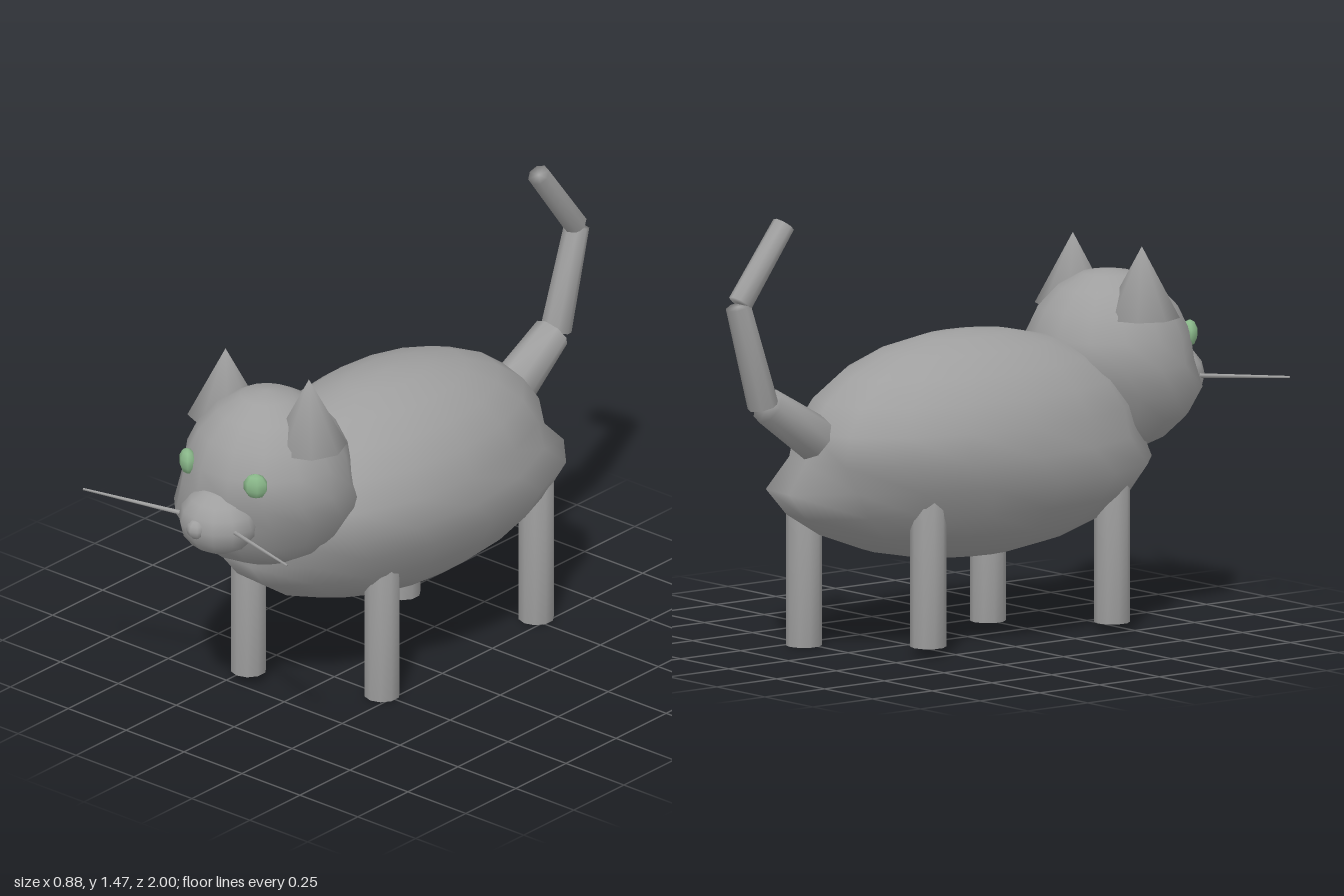
import * as THREE from 'three';
import { mergeVertices } from 'three/addons/utils/BufferGeometryUtils.js';

export function createModel() {
  const cat = new THREE.Group();
  cat.name = 'cat';
  const fur = new THREE.MeshStandardMaterial({ name: 'grey fur', color: 0x9f9f9f });
  const iris = new THREE.MeshStandardMaterial({ name: 'green eye', color: 0x8ab88a });

  // Weld seams and caps so every part is smoothly shaded.
  const soften = (geometry) => {
    geometry.deleteAttribute('normal');
    geometry.deleteAttribute('uv');
    const welded = mergeVertices(geometry, 1e-4);
    welded.computeVertexNormals();
    return welded;
  };
  const add = (name, geometry, material = fur) => {
    const mesh = new THREE.Mesh(geometry, material);
    mesh.name = name;
    cat.add(mesh);
    return mesh;
  };
  const ellipsoid = (name, center, radii, w, h, material) => {
    const geometry = new THREE.SphereGeometry(1, w, h).scale(...radii);
    const mesh = add(name, soften(geometry), material);
    mesh.position.set(...center);
    return mesh;
  };
  // Skew the lower half: left side backward, right side forward,
  // with the leading quarters lengthened.
  const skewLower = (mesh, top, skew, rear, front) => {
    const p = mesh.geometry.attributes.position;
    for (let i = 0; i < p.count; i++) {
      const x = p.getX(i), z = p.getZ(i);
      if (p.getY(i) > top) continue;
      let length = 1;
      if (z < 0 && x > -0.01) length = rear;
      if (z > 0 && x < 0.01) length = front;
      p.setZ(i, z * length - x * skew);
    }
    mesh.geometry.computeVertexNormals();
  };
  // Tapered rod between two points.
  const rod = (name, from, to, r0, r1, sides = 8) => {
    const a = new THREE.Vector3(...from);
    const b = new THREE.Vector3(...to);
    const axis = b.clone().sub(a);
    const mesh = add(name, soften(new THREE.CylinderGeometry(r1, r0, axis.length(), sides)));
    mesh.position.copy(a).add(b).multiplyScalar(0.5);
    mesh.quaternion.setFromUnitVectors(new THREE.Vector3(0, 1, 0), axis.normalize());
    return mesh;
  };

  // Body
  const body = ellipsoid('body', [0, 0.645, -0.01], [0.383, 0.374, 0.67], 16, 12);
  skewLower(body, -0.05, 0.28, 1.14, 1.05);

  // Head, muzzle and nose
  const head = ellipsoid('head', [0, 0.855, 0.587], [0.283, 0.305, 0.282], 14, 10);
  skewLower(head, -0.05, 0.25, 1.08, 1.05);
  ellipsoid('muzzle', [0, 0.78, 0.825], [0.137, 0.112, 0.13], 12, 8);
  ellipsoid('nose', [0, 0.785, 0.938], [0.034, 0.034, 0.034], 8, 6);

  for (const [side, s] of [['left', 1], ['right', -1]]) {
    // Ears
    const ear = add(side + 'Ear', soften(new THREE.ConeGeometry(0.125, 0.235, 8)));
    ear.position.set(s * 0.18, 1.137, 0.585);

    // Eyes
    const eye = ellipsoid(side + 'Eye', [s * 0.147, 0.94, 0.812], [0.042, 0.044, 0.028], 7, 5, iris);
    eye.rotation.y = s * 0.55;

    // Whiskers
    rod(side + 'Whisker', [s * 0.1, 0.785, 0.875], [s * 0.44, 0.812, 0.995], 0.008, 0.004, 6);

    // Walking legs: the right pair is ahead and slightly raised
    const lift = s > 0 ? 0 : 0.03;
    const step = s > 0 ? 0 : 0.19;
    for (const [name, z] of [['FrontLeg', 0.25 + step], ['BackLeg', -0.52 + step]]) {
      rod(side + name, [s * 0.206, lift, z], [s * 0.206, 0.49 + lift, z], 0.059, 0.059, 10);
    }
  }

  // Tail of three straight sections
  rod('tailBase', [0, 0.725, -0.64], [0, 0.853, -0.837], 0.078, 0.062);
  rod('tailMiddle', [0, 0.855, -0.856], [0, 1.195, -0.96], 0.052, 0.042);
  rod('tailTip', [0, 1.205, -0.952], [0, 1.447, -0.77], 0.041, 0.038);

  return cat;
}
